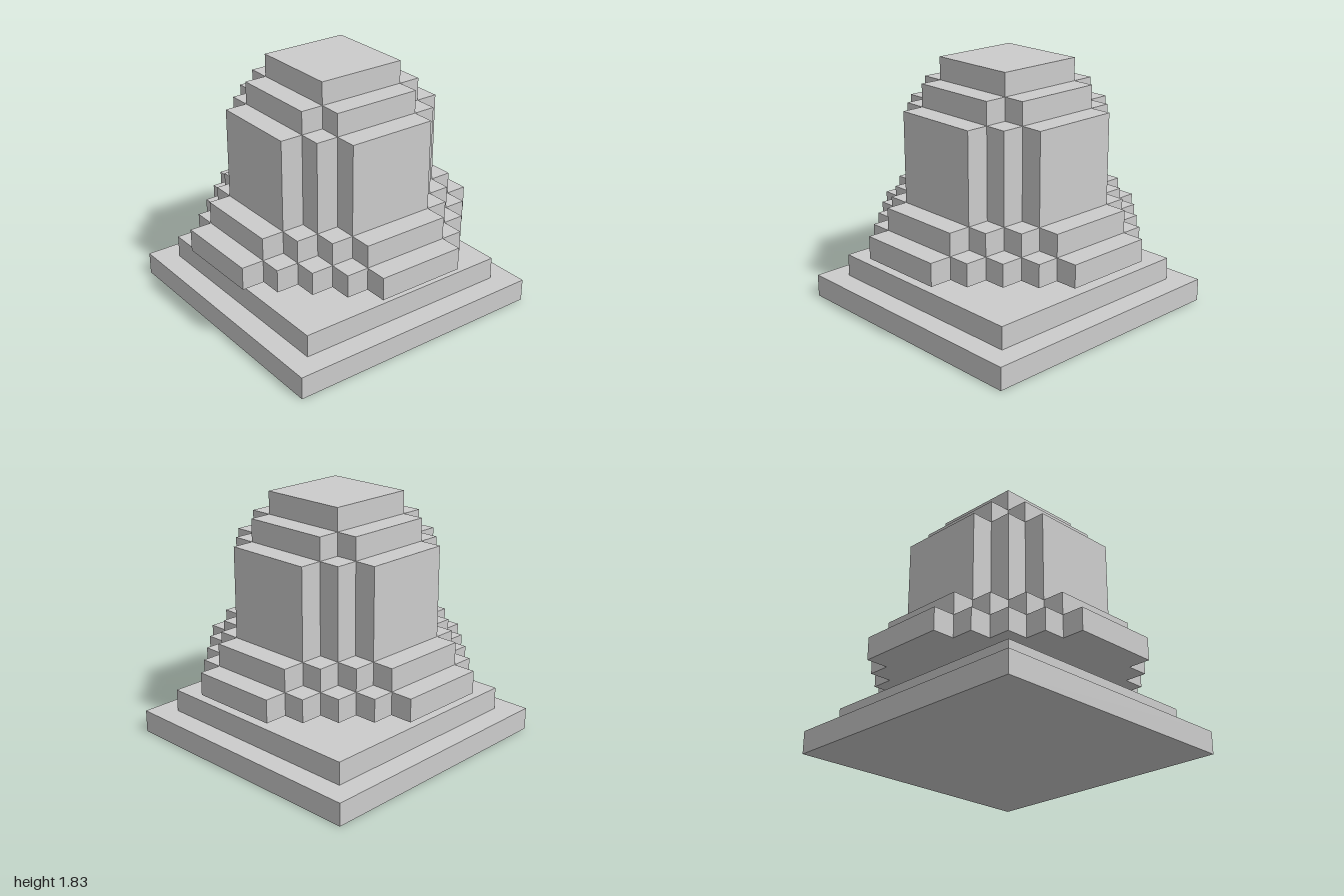
import * as THREE from 'three';

const U = 1 / 6; // one building block
const material = new THREE.MeshStandardMaterial({ color: 0xcccccc, flatShading: true });

// Plan outline reaching n blocks from the centre, its corners cut back in
// one-block steps until the straight sides are 2 * side blocks long.
function steppedOutline(n, side) {
  const quarter = [[n, side]];
  for (let x = n - 1, y = side; x >= side; x--, y++) {
    quarter.push([x, y], [x, y + 1]);
  }
  const points = [];
  let c = 1, s = 0;
  for (let q = 0; q < 4; q++) {
    for (const [x, y] of quarter) {
      points.push(new THREE.Vector2((x * c - y * s) * U, (x * s + y * c) * U));
    }
    [c, s] = [-s, c];
  }
  return new THREE.Shape(points);
}

// One level from block height y0 to y1; side === n gives a plain square.
function tier(name, n, side, y0, y1) {
  const depth = (y1 - y0) * U;
  let geometry;
  if (side === n) {
    geometry = new THREE.BoxGeometry(2 * n * U, depth, 2 * n * U);
    geometry.translate(0, depth / 2, 0);
  } else {
    geometry = new THREE.ExtrudeGeometry(steppedOutline(n, side), { depth, bevelEnabled: false });
    geometry.rotateX(-Math.PI / 2);
  }
  const mesh = new THREE.Mesh(geometry, material);
  mesh.name = name;
  mesh.position.y = y0 * U;
  return mesh;
}

export function createModel() {
  const model = new THREE.Group();
  model.name = 'steppedMonument';
  model.add(
    // square plinth and neck
    tier('plinthLower', 6, 6, 0, 1),
    tier('plinthUpper', 5, 5, 1, 2),
    tier('neck', 2, 2, 2, 3),
    // flared rim with stair-stepped corners
    tier('rimLower', 6, 2, 3, 4),
    tier('rimUpper', 5, 2, 4, 5),
    // tall body, shoulder and cap
    tier('body', 4, 2, 5, 9),
    tier('shoulder', 3, 2, 9, 10),
    tier('cap', 2, 2, 10, 11),
  );
  return model;
}
